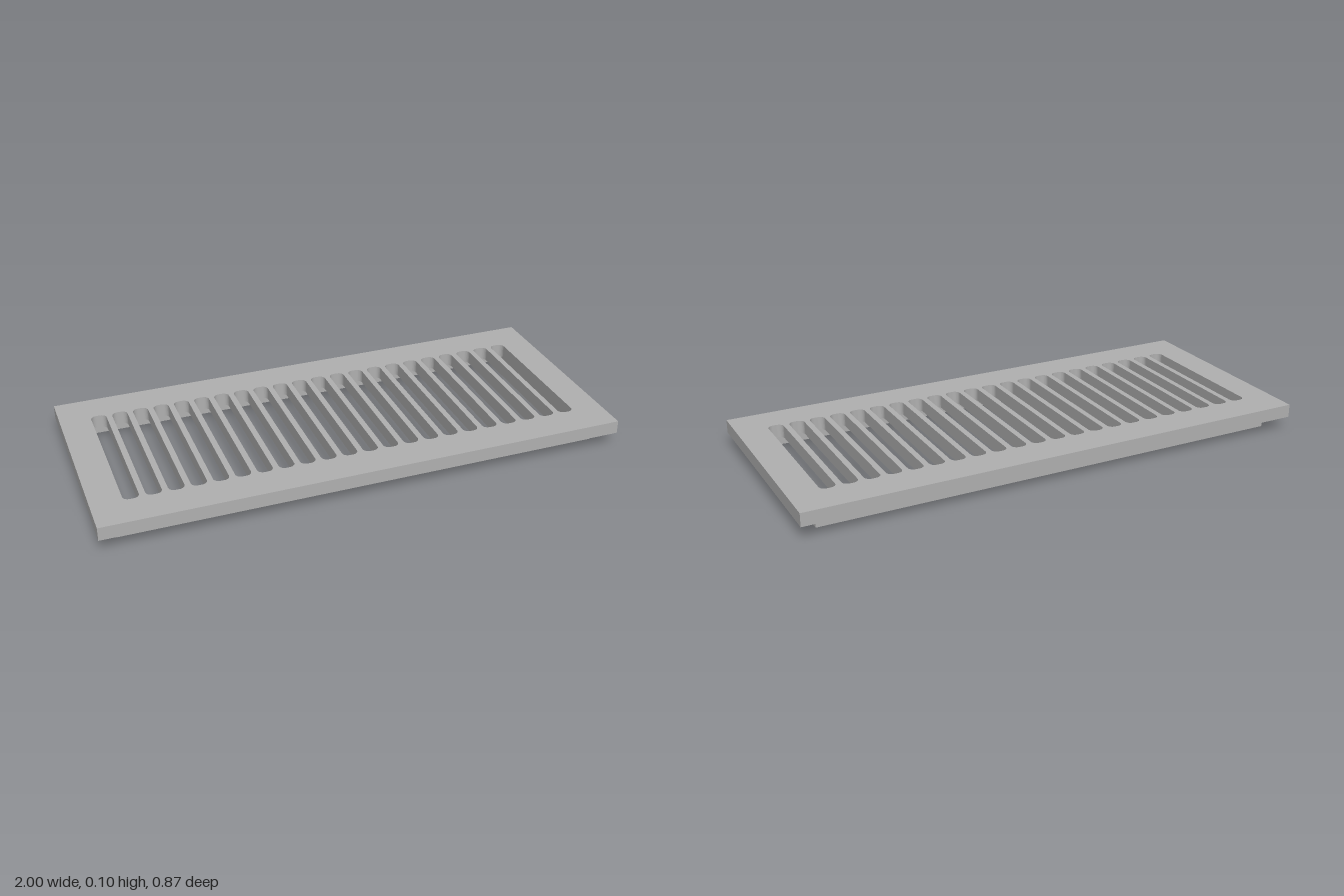
import * as THREE from 'three';

// Rounded rectangle outline centred on (cx, 0)
function roundedRect(path, cx, w, h, r) {
  const x = w / 2, y = h / 2;
  path.moveTo(cx - x + r, -y);
  path.lineTo(cx + x - r, -y);
  path.absarc(cx + x - r, -y + r, r, -Math.PI / 2, 0);
  path.lineTo(cx + x, y - r);
  path.absarc(cx + x - r, y - r, r, 0, Math.PI / 2);
  path.lineTo(cx - x + r, y);
  path.absarc(cx - x + r, y - r, r, Math.PI / 2, Math.PI);
  path.lineTo(cx - x, -y + r);
  path.absarc(cx - x + r, -y + r, r, Math.PI, Math.PI * 1.5);
  return path;
}

function rect(path, w, h) {
  const x = w / 2, y = h / 2;
  path.moveTo(-x, -y);
  path.lineTo(x, -y);
  path.lineTo(x, y);
  path.lineTo(-x, y);
  path.closePath();
  return path;
}

// Extrude a floor-plan shape upward from y0 to y1
function slab(name, shape, y0, y1, material) {
  const geo = new THREE.ExtrudeGeometry(shape, { depth: y1 - y0, bevelEnabled: false, curveSegments: 6 });
  geo.rotateX(-Math.PI / 2).translate(0, y0, 0);
  const mesh = new THREE.Mesh(geo, material);
  mesh.name = name;
  return mesh;
}

export function createModel() {
  const group = new THREE.Group();
  group.name = 'floorVent';
  const metal = new THREE.MeshStandardMaterial({ color: 0xb0b0b0 });
  metal.name = 'grey metal';

  // Face plate with a row of through slots
  const plate = rect(new THREE.Shape(), 2, 0.87);
  const slots = 22, first = -0.853, pitch = 1.706 / (slots - 1);
  for (let i = 0; i < slots; i++) {
    plate.holes.push(roundedRect(new THREE.Path(), first + i * pitch, 0.059, 0.604, 0.022));
  }
  group.add(slab('facePlate', plate, 0.053, 0.104, metal));

  // Thin open collar below the plate
  const collar = rect(new THREE.Shape(), 1.856, 0.726);
  collar.holes.push(rect(new THREE.Path(), 1.832, 0.702));
  group.add(slab('collar', collar, 0, 0.053, metal));

  return group;
}
